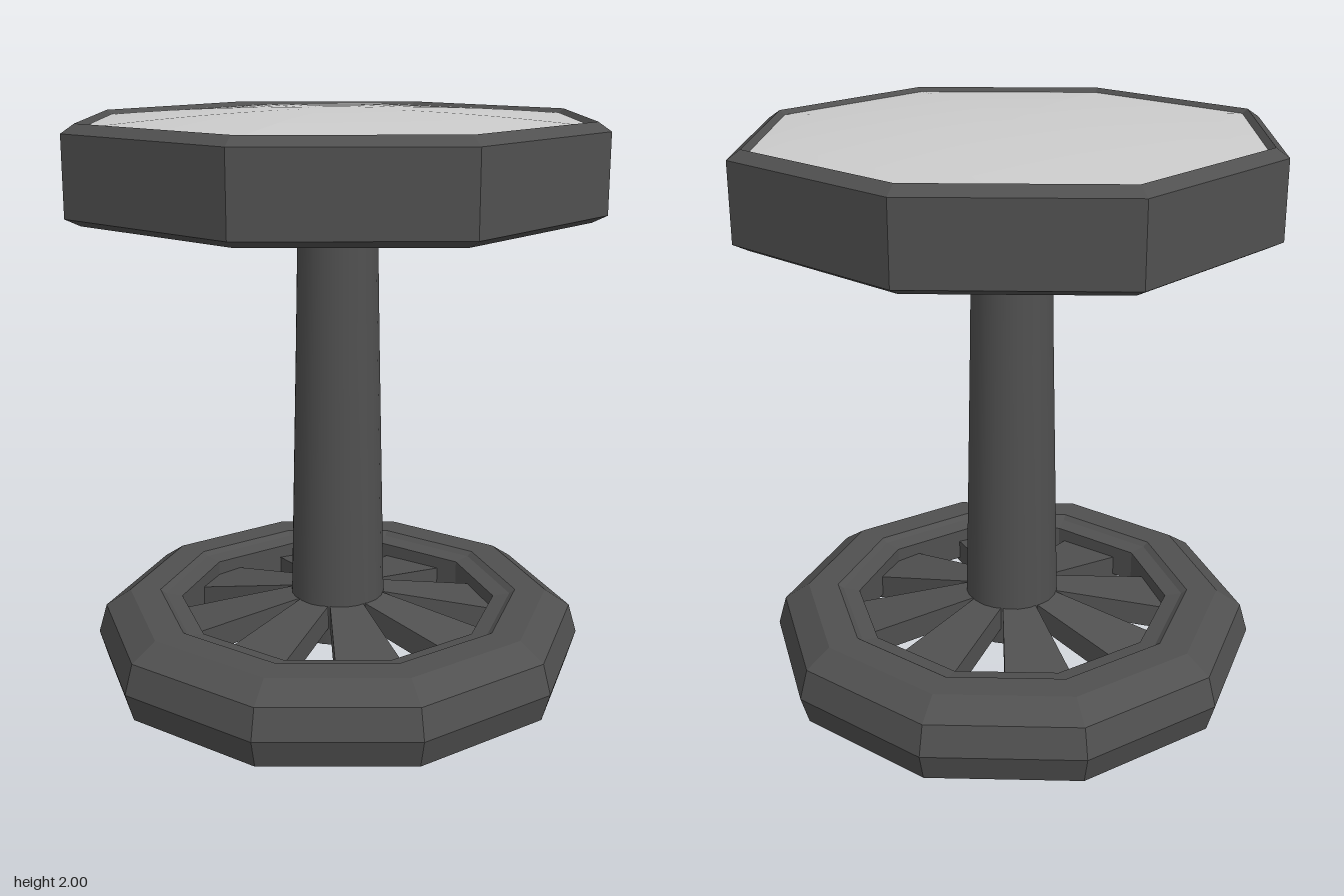
import * as THREE from 'three';

const DEG = Math.PI / 180;

// Lathe from [radius, height] pairs, listed bottom to top on the outside.
function lathe(pairs, sides, startDeg = 0) {
  const points = pairs.map(([r, y]) => new THREE.Vector2(r, y));
  return new THREE.LatheGeometry(points, sides, startDeg * DEG);
}

// Eight-sided lathe whose diagonal corners sit slightly further out.
function octagon(pairs) {
  const geometry = lathe(pairs, 8);
  const p = geometry.attributes.position;
  for (let i = 0; i < p.count; i++) {
    const x = p.getX(i), z = p.getZ(i);
    const diagonal = Math.abs(x * z) > 1e-4 ? 1.03 : 1;
    p.setXYZ(i, x * diagonal, p.getY(i), z * diagonal);
  }
  geometry.computeVertexNormals();
  return geometry;
}

// Tapered sloping bar running outward along +z.
function spokeGeometry(inner, outer) {
  const geometry = new THREE.BoxGeometry(1, 1, 1);
  const p = geometry.attributes.position;
  for (let i = 0; i < p.count; i++) {
    const end = p.getZ(i) > 0 ? outer : inner;
    p.setXYZ(i, p.getX(i) * end.width, p.getY(i) > 0 ? end.top : end.bottom, end.z);
  }
  geometry.computeVertexNormals();
  return geometry;
}

export function createModel() {
  const group = new THREE.Group();
  const dark = new THREE.MeshStandardMaterial({ color: 0x505050, flatShading: true, side: THREE.DoubleSide });
  const darkSmooth = new THREE.MeshStandardMaterial({ color: 0x505050 });
  const grey = new THREE.MeshStandardMaterial({ color: 0xcccccc });

  function add(name, geometry, material, parent = group) {
    const mesh = new THREE.Mesh(geometry, material);
    mesh.name = name;
    parent.add(mesh);
    return mesh;
  }

  // Octagonal top: bevelled frame with a shallow lip around the surface
  add('topFrame', octagon([
    [0, 1.655], [0.87, 1.655], [0.92, 1.68], [0.92, 1.945],
    [0.875, 1.975], [0.85, 1.955],
  ]), dark);

  // Gently domed surface
  const dome = [];
  for (let i = 0; i <= 8; i++) {
    const t = 1 - i / 8;
    dome.push([0.855 * t, 2 - 0.04 * t * t]);
  }
  add('topSurface', octagon(dome), grey);

  // Column with flared collar
  add('column', lathe([[0.165, 0.12], [0.168, 0.27], [0.147, 1.2], [0.14, 1.55]], 24), darkSmooth);
  add('columnCollar', lathe([[0.14, 1.55], [0.2, 1.645]], 24), darkSmooth);
  const cap = add('columnTop', new THREE.CircleGeometry(0.2, 24), darkSmooth);
  cap.rotation.x = -Math.PI / 2;
  cap.position.y = 1.645;
  const foot = add('columnBottom', new THREE.CircleGeometry(0.165, 24), darkSmooth);
  foot.rotation.x = Math.PI / 2;
  foot.position.y = 0.12;

  // Ten-sided base ring, hollow underneath
  add('baseRing', lathe([
    [0.81, 0], [0.85, 0], [0.88, 0.1], [0.85, 0.205], [0.76, 0.265],
    [0.65, 0.265], [0.63, 0.25], [0.57, 0.24], [0.57, 0.12],
  ], 10, 2), dark);
  add('baseRingInside', lathe([[0.81, 0], [0.83, 0.1], [0.8, 0.19], [0.6, 0.22], [0.57, 0.12]], 10, 2), dark);

  // Spokes joining column and ring
  const spokes = new THREE.Group();
  spokes.name = 'spokes';
  group.add(spokes);
  const bar = spokeGeometry(
    { z: 0.12, width: 0.11, bottom: 0.19, top: 0.275 },
    { z: 0.61, width: 0.26, bottom: 0.09, top: 0.18 },
  );
  for (let i = 0; i < 8; i++) {
    add('spoke', bar, dark, spokes).rotation.y = (32 + 45 * i) * DEG;
  }

  return group;
}
